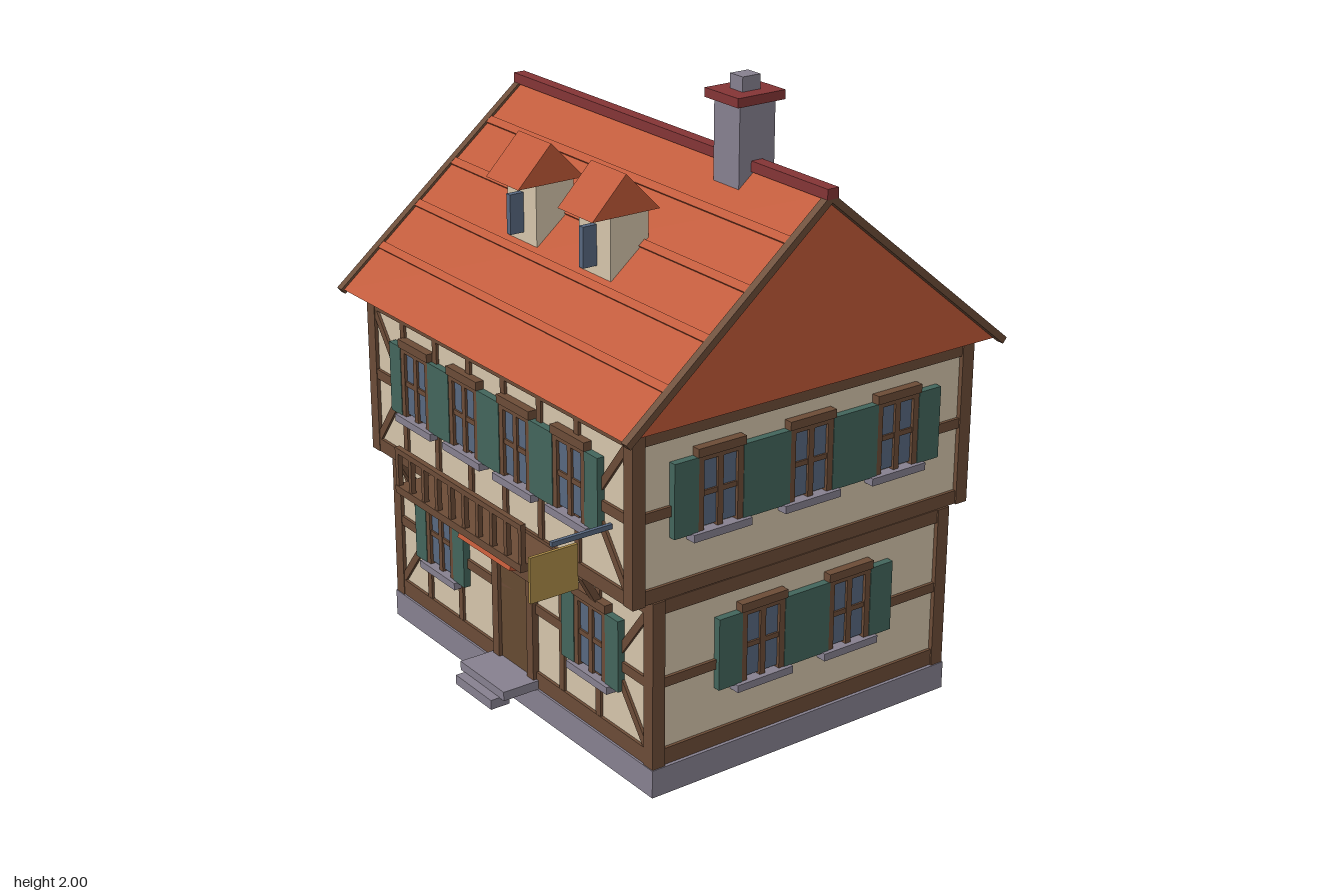
import * as THREE from 'three';

const mat = (name, color) => new THREE.MeshStandardMaterial({ name, color });

export function createModel() {
  const plaster = mat('plaster', 0xd6c6ab), timber = mat('timber', 0x6c4c37);
  const stone = mat('stone', 0x878190), tile = mat('roof tile', 0xc05938);
  const ridgeRed = mat('ridge red', 0x853536), green = mat('shutter green', 0x43665c);
  const glass = mat('slate glass', 0x586880), brass = mat('brass', 0xab8b47);
  const doorWood = mat('door wood', 0x664a32);
  const house = new THREE.Group();
  house.name = 'timberFramedHouse';
  const CZ = -0.097; // depth centre of the walls and ridge

  const add = (parent, name, geo, m) => {
    const mesh = new THREE.Mesh(geo, m);
    mesh.name = name;
    parent.add(mesh);
    return mesh;
  };
  // Box given by its minimum and maximum corners
  const box = (parent, name, m, x0, x1, y0, y1, z0, z1) => {
    const mesh = add(parent, name, new THREE.BoxGeometry(x1 - x0, y1 - y0, z1 - z0), m);
    mesh.position.set((x0 + x1) / 2, (y0 + y1) / 2, (z0 + z1) / 2);
    return mesh;
  };
  // Flat diagonal timber on a wall plane
  const brace = (parent, xa, ya, xb, yb) => {
    const mesh = add(parent, 'brace', new THREE.BoxGeometry(Math.hypot(xb - xa, yb - ya), 0.025, 0.012), timber);
    mesh.position.set((xa + xb) / 2, (ya + yb) / 2, 0.003);
    mesh.rotation.z = Math.atan2(yb - ya, xb - xa);
  };
  // Triangular prism running along x
  const gablePrism = (parent, name, m, x0, x1, zc, half, y0, y1) => {
    const shape = new THREE.Shape([[-half, y0], [half, y0], [0, y1]].map(p => new THREE.Vector2(...p)));
    const geo = new THREE.ExtrudeGeometry(shape, { depth: x1 - x0, bevelEnabled: false });
    geo.rotateY(Math.PI / 2);
    const mesh = add(parent, name, geo, m);
    mesh.position.set(x0, 0, zc);
    return mesh;
  };

  // Window with frame, cross bars, lintel, sill and a pair of shutters
  const windowUnit = (parent, x, y, shutterW) => {
    const w = new THREE.Group();
    w.name = 'window';
    w.position.set(x, y, 0);
    parent.add(w);
    box(w, 'pane', glass, -0.07, 0.07, 0.01, 0.22, 0, 0.012);
    for (const s of [-1, 1]) {
      box(w, 'frameSide', timber, s * 0.07 - 0.01, s * 0.07 + 0.01, 0, 0.23, 0, 0.022);
      const c = s * (0.08 + shutterW / 2);
      box(w, 'shutter', green, c - shutterW / 2, c + shutterW / 2, 0, 0.23, 0, 0.024);
    }
    box(w, 'mullion', timber, -0.01, 0.01, 0, 0.23, 0, 0.02);
    box(w, 'crossBar', timber, -0.07, 0.07, 0.105, 0.121, 0, 0.018);
    box(w, 'frameTop', timber, -0.08, 0.08, 0.215, 0.232, 0, 0.022);
    box(w, 'lintel', timber, -0.085, 0.085, 0.23, 0.257, 0, 0.028);
    box(w, 'sill', stone, -0.104, 0.104, -0.022, 0.002, 0, 0.036);
  };

  // One wall face of a storey: rails, windows, and optional studs and braces
  const facade = (f, angle, dist, half, y, windows, winY, shutterW, studs) => {
    const g = new THREE.Group();
    g.name = f;
    g.rotation.y = angle;
    g.position.set(Math.sin(angle) * dist, 0, CZ + Math.cos(angle) * dist);
    house.add(g);
    const [bottom, mid, top] = y;
    for (const [a, b] of y) box(g, 'rail', timber, -half, half, a, b, -0.01, 0.01);
    for (const x of windows) windowUnit(g, x, winY, shutterW);
    for (const x of studs) box(g, 'stud', timber, x - 0.012, x + 0.012, bottom[1], top[0], -0.01, 0.009);
    if (studs.length) for (const s of [-1, 1]) {
      brace(g, s * 0.68, top[0], s * 0.525, mid[1]);
      brace(g, s * 0.68, bottom[1], s * 0.525, mid[0]);
    }
    return g;
  };

  // Plinth and both storeys
  box(house, 'plinth', stone, -0.72, 0.72, 0, 0.09, CZ - 0.565, CZ + 0.565);
  const storeys = [
    { depth: 0.55, y0: 0.09, y1: 0.625, rails: [[0.092, 0.145], [0.345, 0.376], [0.58, 0.624]], winY: 0.28,
      front: [-0.418, 0.418], back: [-0.42, -0.14, 0.14, 0.42], side: [-0.165, 0.165] },
    { depth: 0.62, y0: 0.625, y1: 1.165, rails: [[0.626, 0.67], [0.877, 0.909], [1.11, 1.164]], winY: 0.81,
      front: [-0.42, -0.14, 0.14, 0.42], back: [-0.42, -0.14, 0.14, 0.42], side: [-0.33, 0, 0.33] },
  ];
  const studs = [-0.51, -0.32, -0.13, 0.06, 0.25, 0.44];
  for (const s of storeys) {
    box(house, 'wall', plaster, -0.702, 0.702, s.y0, s.y1, CZ - s.depth, CZ + s.depth);
    for (const sx of [-1, 1]) for (const sz of [-1, 1]) {
      const x = sx * 0.695, z = CZ + sz * (s.depth - 0.01);
      box(house, 'cornerPost', timber, x - 0.022, x + 0.022, s.y0, s.y1, z - 0.022, z + 0.022);
    }
    const ground = s === storeys[0];
    const front = ground ? [-0.51, -0.32, 0.25, 0.44] : studs;
    facade('frontWall', 0, s.depth, 0.7, s.rails, s.front, s.winY, 0.065, front);
    facade('backWall', Math.PI, s.depth, 0.7, s.rails, s.back, s.winY, 0.06, studs.map(x => -x));
    for (const a of [-1, 1])
      facade('sideWall', a * Math.PI / 2, 0.702, s.depth, s.rails, s.side, s.winY, 0.085, []);
  }

  // Slanted brackets under the jetty, front and back
  for (const s of [-1, 1]) for (let i = 0; i < 5; i++) {
    const b = add(house, 'jettyBracket', new THREE.BoxGeometry(0.03, 0.13, 0.022), timber);
    b.position.set(-0.573 + i * 0.254, 0.565, CZ + s * 0.585);
    b.rotation.x = s * 0.5;
  }

  // Main roof, tile courses, verge boards and ridge
  const HALF = 0.69, EAVE = 1.165, PEAK = 1.735;
  gablePrism(house, 'roof', tile, -0.757, 0.757, CZ, HALF, EAVE, PEAK);
  const slope = Math.atan2(PEAK - EAVE, HALF), slopeLen = Math.hypot(HALF, PEAK - EAVE);
  for (const s of [-1, 1]) {
    const side = new THREE.Group();
    side.name = 'roofSlope';
    side.position.set(0, PEAK, CZ);
    side.rotation.y = s > 0 ? 0 : Math.PI;
    const plane = new THREE.Group(); // z runs down the slope, y outward
    plane.rotation.x = slope;
    side.add(plane);
    house.add(side);
    for (let i = 1; i < 5; i++) {
      const z = i * slopeLen / 5 - 0.008;
      box(plane, 'tileCourse', tile, -0.757, 0.757, -0.005, 0.007, z - 0.013, z + 0.013);
    }
    for (const e of [-1, 1])
      box(plane, 'vergeBoard', timber, e * 0.769 - 0.013, e * 0.769 + 0.013, -0.014, 0.008, 0, slopeLen + 0.006);
  }
  box(house, 'ridgeCap', ridgeRed, -0.783, 0.783, 1.728, 1.76, CZ - 0.02, CZ + 0.02);

  // Chimney
  box(house, 'chimneyStack', stone, 0.328, 0.446, 1.55, 1.93, CZ - 0.064, CZ + 0.064);
  box(house, 'chimneyCap', ridgeRed, 0.31, 0.464, 1.928, 1.956, CZ - 0.085, CZ + 0.085);
  box(house, 'chimneyPot', stone, 0.358, 0.416, 1.956, 2, CZ - 0.032, CZ + 0.032);

  // Dormers
  for (const x of [-0.192, 0.188]) {
    box(house, 'dormerBody', plaster, x - 0.078, x + 0.078, 1.42, 1.615, 0.152, 0.287);
    gablePrism(house, 'dormerRoof', tile, x - 0.087, x + 0.087, 0.237, 0.119, 1.612, 1.735);
    box(house, 'dormerWindow', glass, x - 0.01, x + 0.01, 1.45, 1.575, 0.28, 0.335);
  }

  // Front door, canopy and steps
  box(house, 'door', doorWood, -0.085, 0.085, 0.09, 0.45, 0.44, 0.463);
  for (const s of [-1, 1])
    box(house, 'doorPost', timber, s * 0.096 - 0.017, s * 0.096 + 0.017, 0.09, 0.46, 0.44, 0.475);
  box(house, 'doorLintel', timber, -0.123, 0.123, 0.45, 0.505, 0.44, 0.478);
  const canopy = add(house, 'doorCanopy', new THREE.BoxGeometry(0.29, 0.026, 0.105), tile);
  canopy.position.set(0, 0.532, 0.52);
  canopy.rotation.x = -0.28;
  box(house, 'upperStep', stone, -0.123, 0.123, 0.09, 0.12, 0.44, 0.59);
  box(house, 'lowerStep', stone, -0.1, 0.1, 0.06, 0.092, 0.555, 0.622);

  // Balcony
  box(house, 'balconyFloor', timber, -0.35, 0.35, 0.635, 0.66, 0.52, 0.667);
  box(house, 'balconyRail', timber, -0.35, 0.35, 0.768, 0.786, 0.647, 0.665);
  for (let i = 0; i < 10; i++) {
    const x = -0.342 + i * 0.076;
    box(house, 'baluster', timber, x - 0.008, x + 0.008, 0.655, 0.77, 0.648, 0.664);
  }

  // Hanging sign
  box(house, 'signRod', glass, 0.592, 0.604, 0.833, 0.848, 0.52, 0.727);
  box(house, 'signBoard', brass, 0.593, 0.603, 0.68, 0.82, 0.64, 0.8);

  return house;
}
